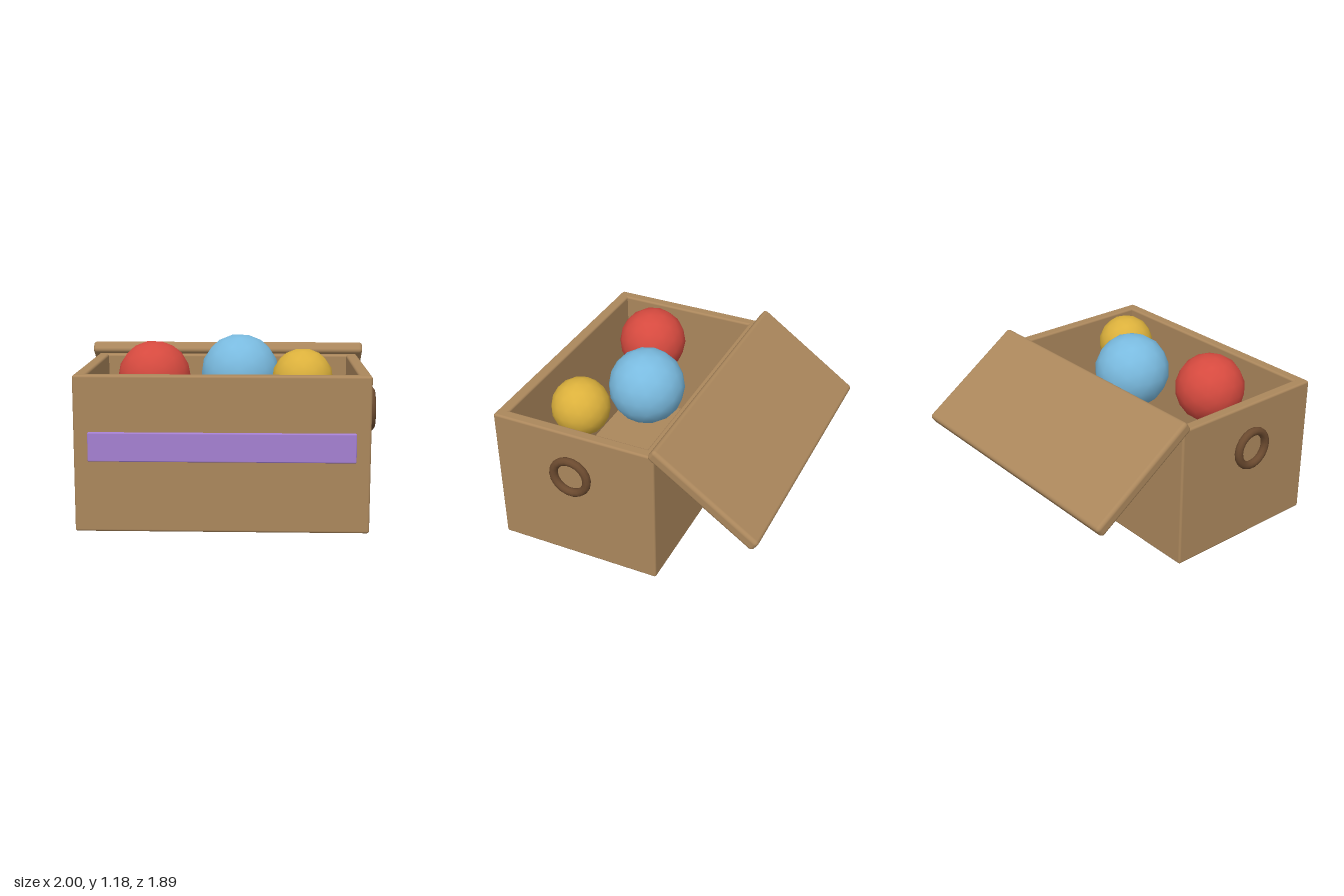
import * as THREE from 'three';
import { RoundedBoxGeometry } from 'three/addons/geometries/RoundedBoxGeometry.js';

const material = (name, color) => {
  const m = new THREE.MeshStandardMaterial({ color });
  m.name = name;
  return m;
};

export function createModel() {
  const group = new THREE.Group();
  const wood = material('wood', 0xab875c);
  const darkWood = material('darkWood', 0x6b4a2f);
  const purple = material('purple', 0xa580d2);
  const red = material('red', 0xd64a3f);
  const blue = material('blue', 0x7abbe0);
  const yellow = material('yellow', 0xdcb13c);

  const add = (name, geometry, mat, x, y, z) => {
    const mesh = new THREE.Mesh(geometry, mat);
    mesh.name = name;
    mesh.position.set(x, y, z);
    group.add(mesh);
    return mesh;
  };
  const board = (name, mat, w, h, d, x, y, z, r = 0.015) =>
    add(name, new RoundedBoxGeometry(w, h, d, 3, r), mat, x, y, z);

  // Open chest: floor and four walls
  const W = 1.85, H = 0.995, D = 1.155, T = 0.078, midZ = 0.348;
  board('floor', wood, W, T, D, 0, T / 2 + 0.003, midZ, 0.02);
  board('frontWall', wood, W, H, T, 0, H / 2 + 0.003, midZ + (D - T) / 2);
  board('backWall', wood, W, H, T, 0, H / 2 + 0.003, midZ - (D - T) / 2);

  // Side walls, each with a ring handle
  for (const [side, s] of [['left', 1], ['right', -1]]) {
    board(side + 'Wall', wood, T, H, D, s * (W - T) / 2, H / 2 + 0.003, midZ);
    const ring = new THREE.TorusGeometry(0.122, 0.028, 10, 18);
    add(side + 'Handle', ring, darkWood, s * 0.972, 0.7, 0.348).rotation.y = Math.PI / 2;
  }

  // Lid hanging open behind the chest
  board('lid', wood, 1.935, 0.085, 0.865, 0, 0.805, -0.573, 0.025).rotation.x = -0.61;

  // Label strip on the front
  board('labelStrip', purple, 1.67, 0.185, 0.03, 0, 0.55, 0.93, 0.008);

  // Toy balls
  const ball = (name, mat, r, x, y, z) =>
    add(name, new THREE.IcosahedronGeometry(r, 2), mat, x, y, z);
  ball('redBall', red, 0.24, -0.46, 0.922, 0.445);
  ball('blueBall', blue, 0.264, 0.1, 0.92, 0.22);
  ball('yellowBall', yellow, 0.2, 0.512, 0.922, 0.508);

  return group;
}
